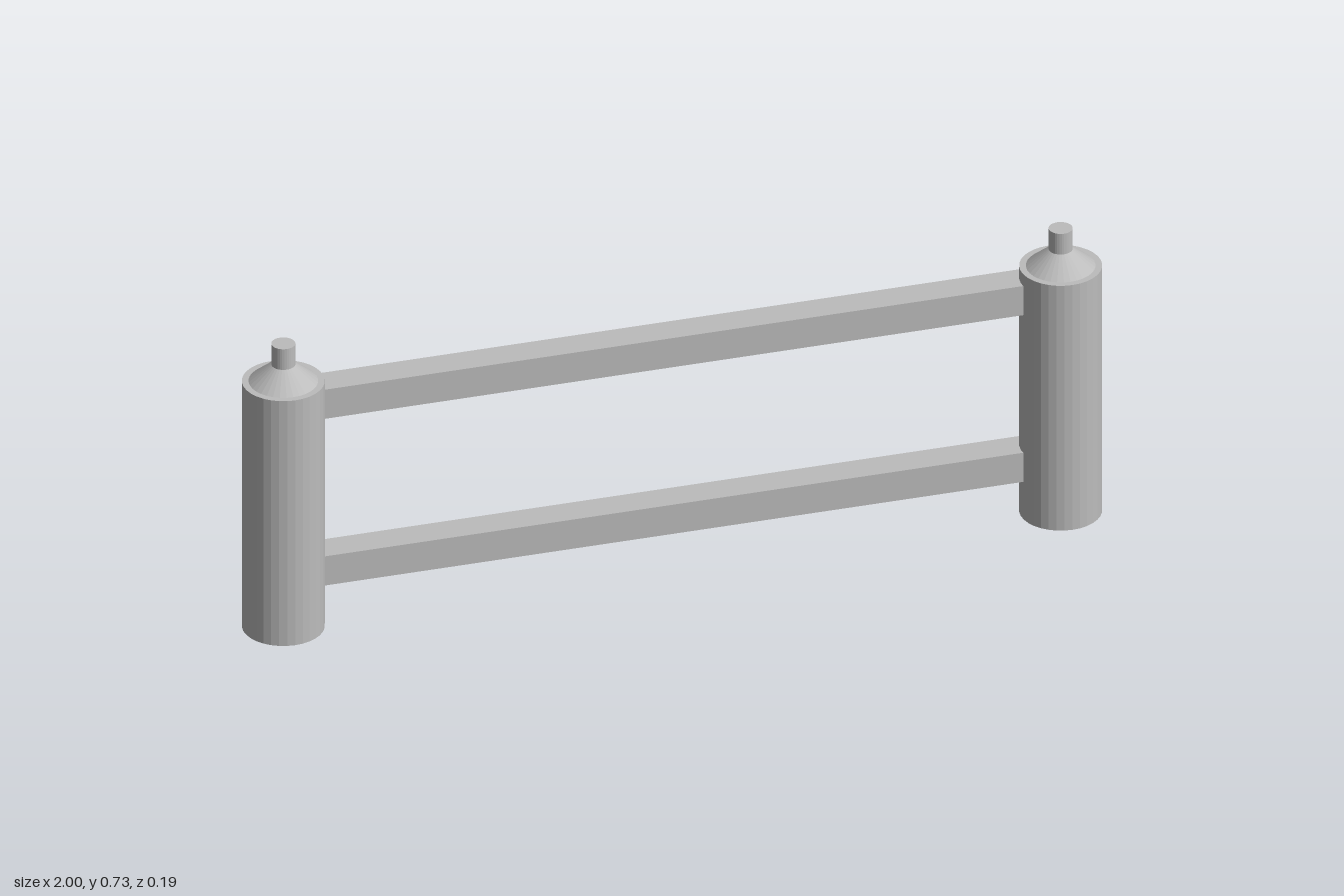
import * as THREE from 'three';

export function createModel() {
  const model = new THREE.Group();
  model.name = 'railing';

  const grey = new THREE.MeshStandardMaterial({ color: 0xbcbcbc, flatShading: true });
  grey.name = 'grey';

  const add = (parent, name, geometry, x, y, z) => {
    const mesh = new THREE.Mesh(geometry, grey);
    mesh.name = name;
    mesh.position.set(x, y, z);
    parent.add(mesh);
  };

  // Round posts, each with a conical cap and a short pin
  const postHeight = 0.63, capHeight = 0.043, pinHeight = 0.053;
  const postGeometry = new THREE.CylinderGeometry(0.093, 0.093, postHeight, 32);
  const capGeometry = new THREE.CylinderGeometry(0.027, 0.078, capHeight, 32, 1, true);
  const pinGeometry = new THREE.CylinderGeometry(0.027, 0.027, pinHeight, 32);
  for (const [side, sign] of [['left', 1], ['right', -1]]) {
    const post = new THREE.Group();
    post.name = side + 'Post';
    post.position.x = sign * 0.907;
    add(post, 'postBody', postGeometry, 0, postHeight / 2, 0);
    add(post, 'postCap', capGeometry, 0, postHeight + capHeight / 2, 0);
    add(post, 'postPin', pinGeometry, 0, postHeight + capHeight + pinHeight / 2, 0);
    model.add(post);
  }

  // Square rails, set slightly behind the post centres
  const railGeometry = new THREE.BoxGeometry(1.72, 0.075, 0.075);
  add(model, 'lowerRail', railGeometry, 0, 0.133, -0.023);
  add(model, 'upperRail', railGeometry, 0, 0.562, -0.023);

  return model;
}
